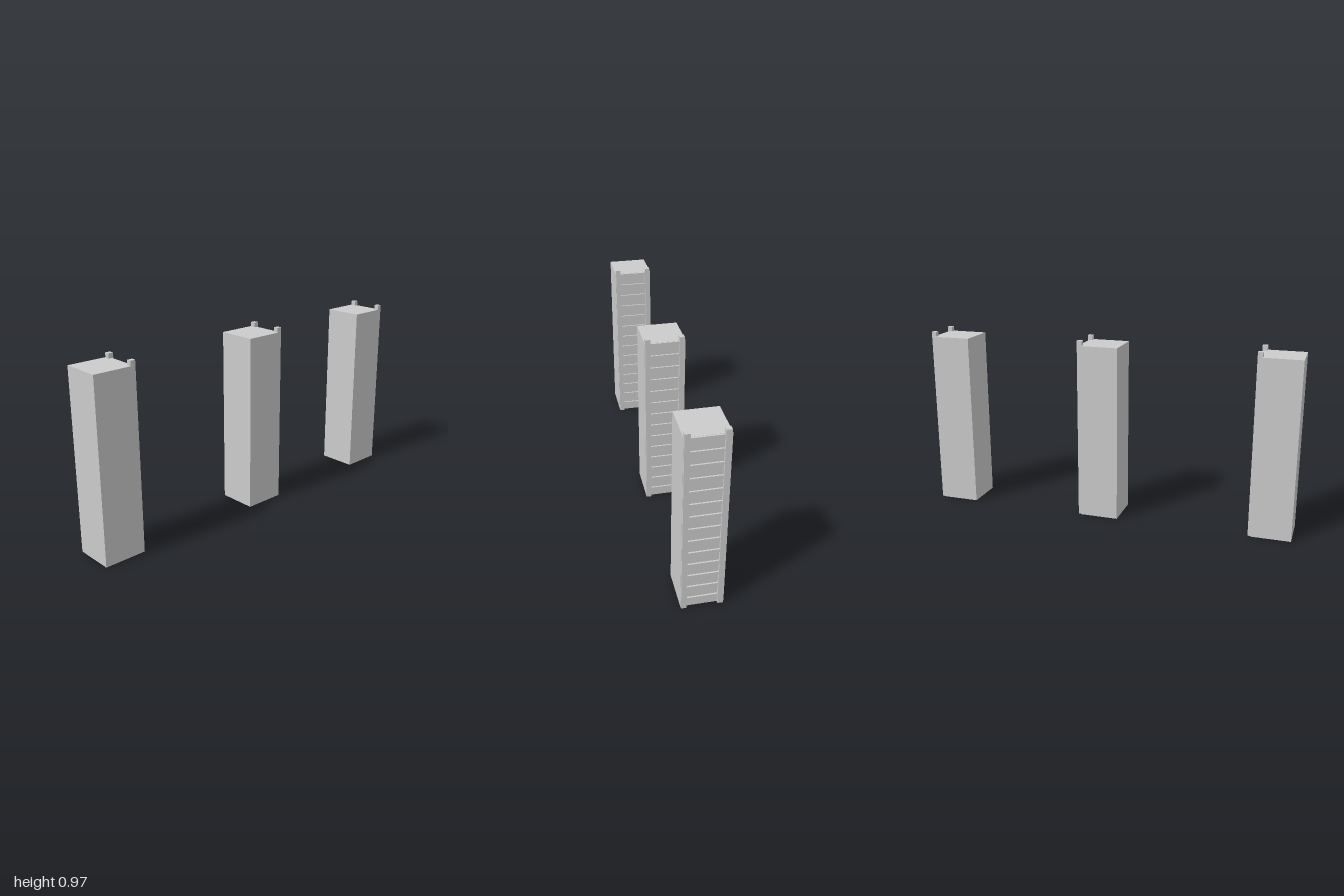
import * as THREE from 'three';

const material = new THREE.MeshStandardMaterial({ color: 0xcccccc, flatShading: true });

// Box given by its minimum and maximum corners
function box(name, [x0, y0, z0], [x1, y1, z1]) {
  const mesh = new THREE.Mesh(new THREE.BoxGeometry(x1 - x0, y1 - y0, z1 - z0), material);
  mesh.position.set((x0 + x1) / 2, (y0 + y1) / 2, (z0 + z1) / 2);
  mesh.name = name;
  return mesh;
}

// Square pillar with a ladder on its +x side, starting at x = 0
function createTower() {
  const tower = new THREE.Group();
  tower.add(box('pillar', [0, 0, -0.104], [0.208, 0.941, 0.104]));

  const ladder = new THREE.Group();
  ladder.name = 'ladder';
  ladder.add(box('frontRail', [0.196, 0, 0.077], [0.222, 0.966, 0.103]));
  ladder.add(box('backRail', [0.196, 0, -0.097], [0.222, 0.966, -0.071]));

  // Evenly spaced rungs between the rails
  for (let i = 0; i < 14; i++) {
    const y = 0.047 + i * 0.0681;
    ladder.add(box('rung', [0.2, y - 0.008, -0.072], [0.216, y + 0.008, 0.078]));
  }
  tower.add(ladder);
  return tower;
}

export function createModel() {
  const model = new THREE.Group();
  model.name = 'ladderTowers';
  // Three identical towers in a row
  [-1, -0.07, 0.778].forEach((x, i) => {
    const tower = createTower();
    tower.name = `tower${i + 1}`;
    tower.position.x = x;
    model.add(tower);
  });
  return model;
}
